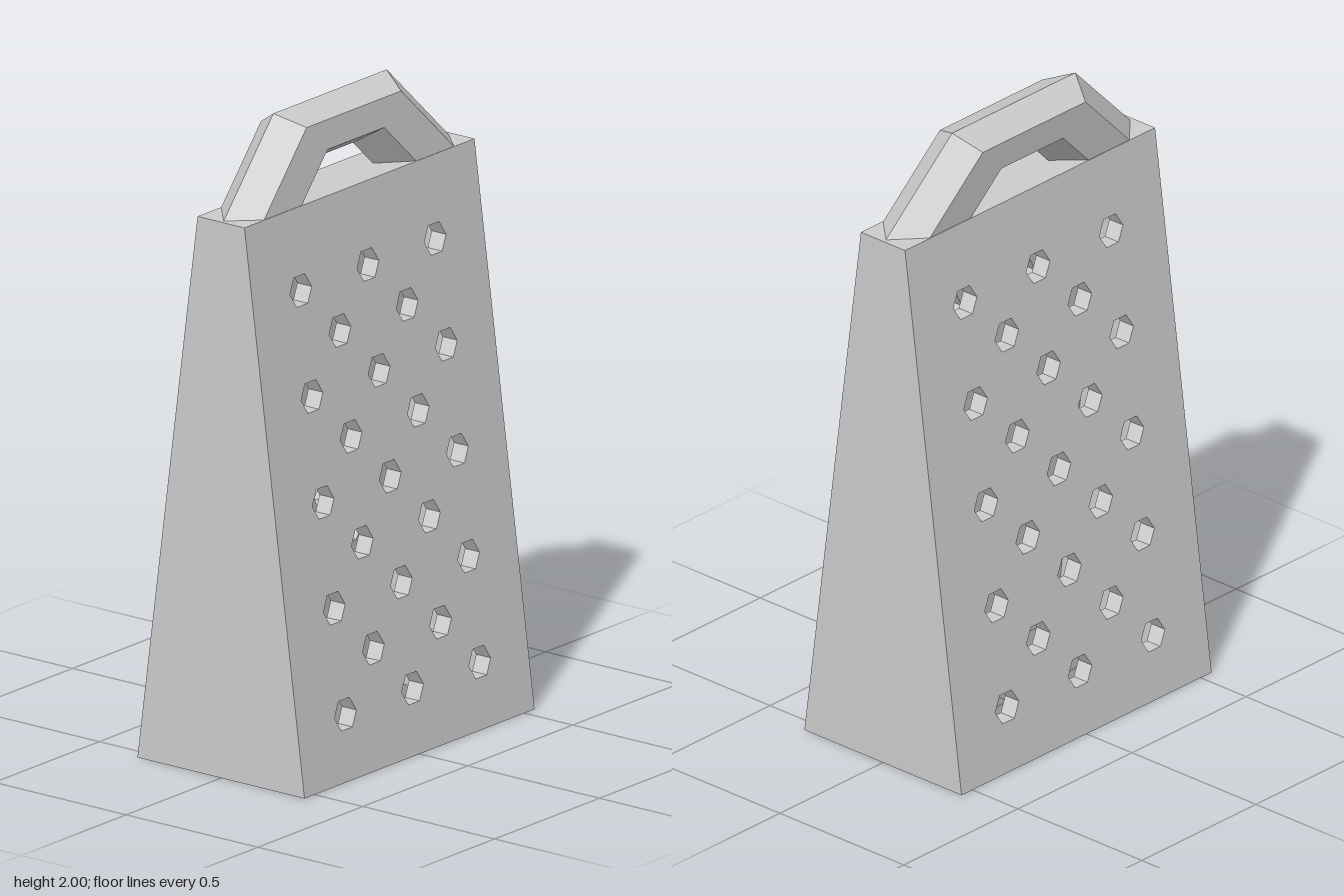
import * as THREE from 'three';

const W = 0.548;          // half width
const H = 1.735;          // body height
const T = 0.055;          // wall thickness
const Z0 = 0.317, Z1 = 0.089; // half depth at the bottom and top
const SLOPE = (Z0 - Z1) / H;
const innerDepth = (y) => Z0 - T - SLOPE * y;

const material = new THREE.MeshStandardMaterial({ color: 0xcccccc, flatShading: true });

function add(parent, name, geometry) {
  const mesh = new THREE.Mesh(geometry, material);
  mesh.name = name;
  parent.add(mesh);
  return mesh;
}

// Perforated wall, pierced straight along z and sheared to lean inward
function gratingWall() {
  const shape = new THREE.Shape([
    new THREE.Vector2(-W, 0), new THREE.Vector2(W, 0),
    new THREE.Vector2(W, H), new THREE.Vector2(-W, H),
  ]);
  for (let row = 0; row < 9; row++) {
    const y = 0.2 + row * 0.161;
    const columns = row % 2 ? [-0.16, 0.16] : [-0.32, 0, 0.32];
    for (const x of columns) {
      const points = [];
      for (let i = 0; i < 6; i++) {
        const a = -i * Math.PI / 3;
        points.push(new THREE.Vector2(x + 0.052 * Math.cos(a), y + 0.052 * Math.sin(a)));
      }
      shape.holes.push(new THREE.Path(points));
    }
  }
  const geometry = new THREE.ExtrudeGeometry(shape, { depth: T, bevelEnabled: false });
  const p = geometry.attributes.position;
  for (let i = 0; i < p.count; i++) p.setZ(i, p.getZ(i) + innerDepth(p.getY(i)));
  geometry.computeVertexNormals();
  return geometry;
}

// Tapered slab filling the gap between the two grating walls
function slab(x0, x1, y0, y1) {
  const a = innerDepth(y0), b = innerDepth(y1);
  const shape = new THREE.Shape([
    new THREE.Vector2(-a, y0), new THREE.Vector2(a, y0),
    new THREE.Vector2(b, y1), new THREE.Vector2(-b, y1),
  ]);
  const geometry = new THREE.ExtrudeGeometry(shape, { depth: x1 - x0, bevelEnabled: false });
  return geometry.rotateY(Math.PI / 2).translate(x0, 0, 0);
}

// Hexagonal bar swept along a three-segment arch with mitred corners
function handleGeometry() {
  const R = 0.09, halfDepth = 0.087, topX = 0.18, topY = 0.175, baseY = -0.012;
  const positions = [], index = [];
  const stations = [[-1, 0], [-1, 1], [1, 1], [1, 0]]; // side, is top corner
  for (const [side, top] of stations) {
    for (let i = 0; i < 6; i++) {
      const a = i * Math.PI / 3;
      const off = R * Math.cos(a);
      const z = halfDepth * Math.sin(a) / Math.sin(Math.PI / 3);
      const x = topX + off, y = topY + off;
      if (top) positions.push(side * x, y, z);
      else positions.push(side * (x + y - baseY), baseY, z);
    }
  }
  for (let s = 0; s < 3; s++) {
    for (let i = 0; i < 6; i++) {
      const j = (i + 1) % 6;
      const a = s * 6 + i, b = s * 6 + j, c = a + 6, d = b + 6;
      index.push(a, b, d, a, d, c);
    }
  }
  const geometry = new THREE.BufferGeometry();
  geometry.setAttribute('position', new THREE.Float32BufferAttribute(positions, 3));
  geometry.setIndex(index);
  const flat = geometry.toNonIndexed();
  flat.computeVertexNormals();
  return flat;
}

export function createModel() {
  const model = new THREE.Group();
  model.name = 'grater';

  // Hollow tapered body, open at the bottom
  const body = new THREE.Group();
  body.name = 'body';
  model.add(body);
  const wall = gratingWall();
  add(body, 'frontWall', wall);
  add(body, 'backWall', wall).rotation.y = Math.PI;
  add(body, 'leftWall', slab(W - T, W, 0, H));
  add(body, 'rightWall', slab(-W, -W + T, 0, H));
  add(body, 'topPlate', slab(-W + T, W - T, H - T, H));

  // Handle, leaning slightly backward
  const handle = add(model, 'handle', handleGeometry());
  handle.position.y = H;
  handle.rotation.x = -0.086;

  return model;
}
